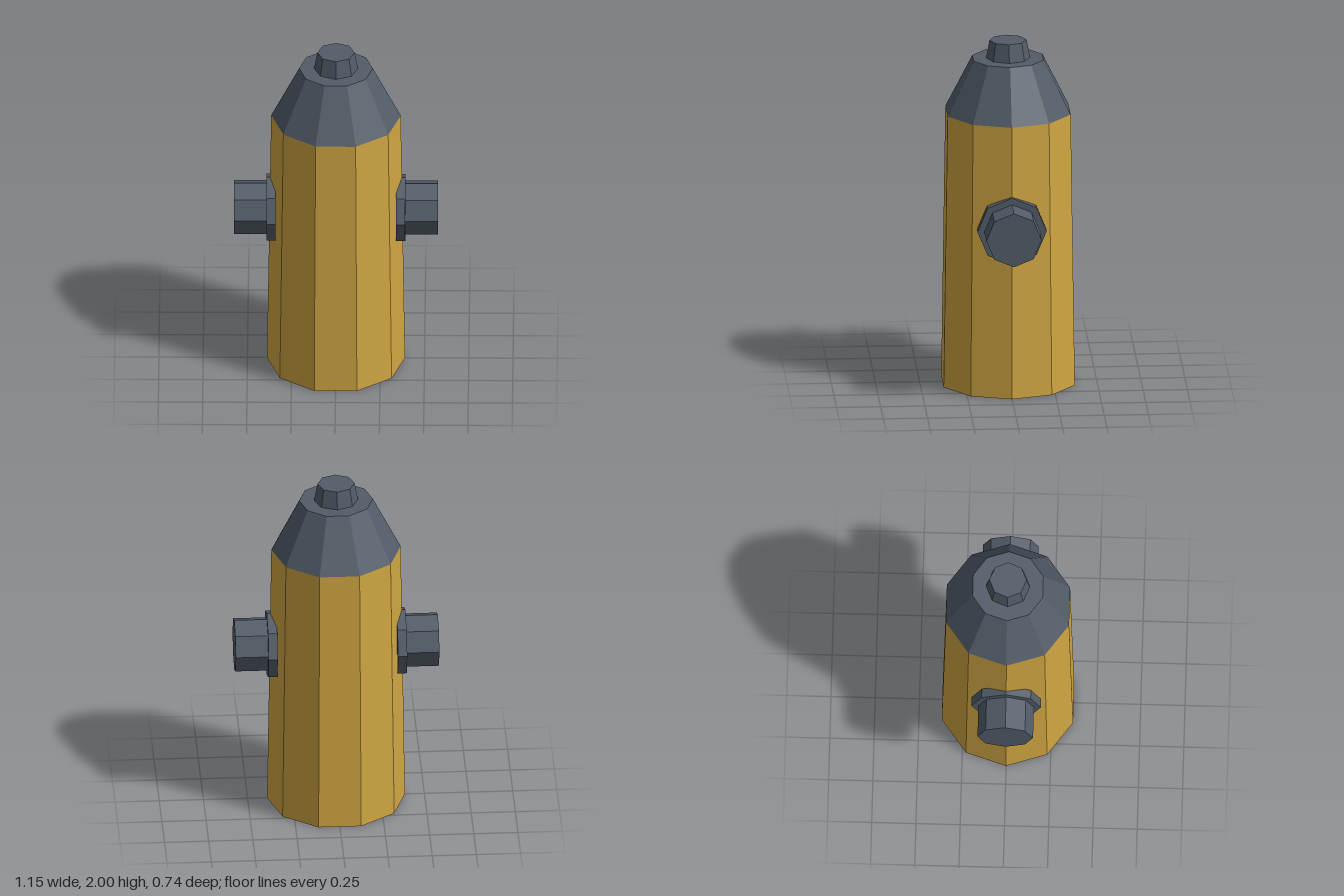
import * as THREE from 'three';

const yellow = new THREE.MeshStandardMaterial({ color: 0xd0a642, flatShading: true });
yellow.name = 'hydrant yellow';
const slate = new THREE.MeshStandardMaterial({ color: 0x525c68, flatShading: true });
slate.name = 'slate grey';

// Tapered prism running from one height to another, with a corner on +x
function prism(name, material, sides, bottomRadius, topRadius, from, to) {
  const geometry = new THREE.CylinderGeometry(
    topRadius, bottomRadius, to - from, sides, 1, false, Math.PI / 2);
  geometry.translate(0, (from + to) / 2, 0);
  const mesh = new THREE.Mesh(geometry, material);
  mesh.name = name;
  return mesh;
}

export function createModel() {
  const hydrant = new THREE.Group();
  hydrant.name = 'fireHydrant';

  // Ten-sided barrel, bonnet and the octagonal nut on top
  hydrant.add(
    prism('body', yellow, 10, 0.39, 0.366, 0, 1.587),
    prism('bonnet', slate, 10, 0.366, 0.208, 1.587, 1.896),
    prism('topNut', slate, 8, 0.124, 0.105, 1.896, 2),
  );

  // Mirrored side outlets: flange against the body, then the outlet pipe
  for (const side of [1, -1]) {
    const outlet = new THREE.Group();
    outlet.name = side > 0 ? 'leftOutlet' : 'rightOutlet';
    outlet.add(
      prism('flange', slate, 8, 0.196, 0.196, 0.34, 0.392),
      prism('outletPipe', slate, 8, 0.157, 0.157, 0.35, 0.576),
    );
    outlet.rotation.z = -side * Math.PI / 2;
    outlet.position.y = 0.985;
    hydrant.add(outlet);
  }

  return hydrant;
}
